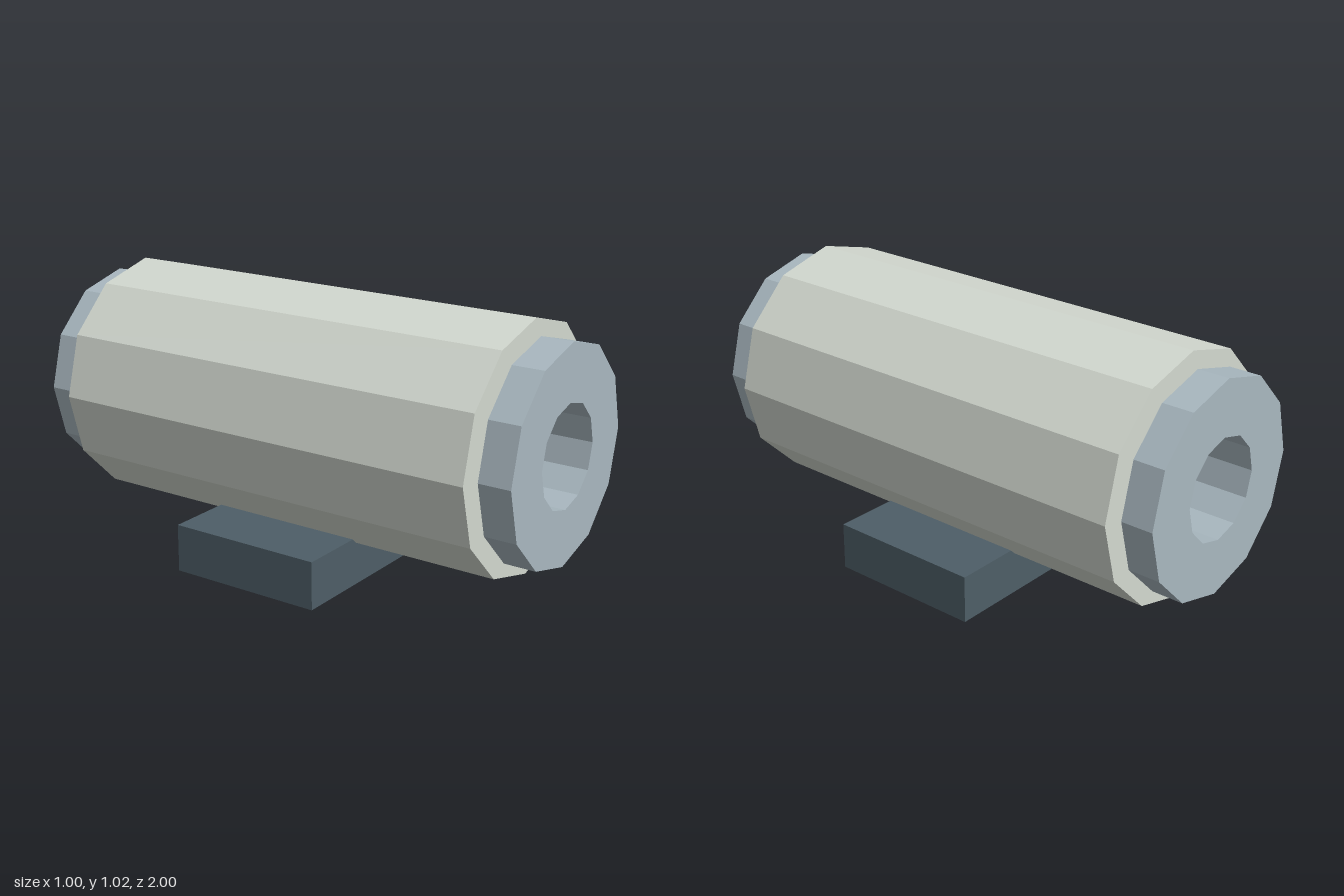
import * as THREE from 'three';

const SIDES = 12;
const AXIS_Y = 0.56;

const material = (color) => new THREE.MeshStandardMaterial({ color, flatShading: true });

// Hollow 12-sided ring along z
function ring(name, outer, inner, length, z, mat) {
  const h = length / 2;
  const profile = [[inner, -h], [outer, -h], [outer, h], [inner, h], [inner, -h]]
    .map(([r, y]) => new THREE.Vector2(r, y));
  const geometry = new THREE.LatheGeometry(profile, SIDES).rotateX(Math.PI / 2);
  const mesh = new THREE.Mesh(geometry, mat);
  mesh.name = name;
  mesh.position.set(0, AXIS_Y, z);
  return mesh;
}

export function createModel() {
  const model = new THREE.Group();
  model.name = 'flangedPipe';
  const shellMat = material(0xd3d9d0);
  const steelMat = material(0xa9b8c0);
  const baseMat = material(0x4e5e67);

  // Outer shell around the inner pipe
  model.add(ring('outerShell', 0.46, 0.26, 1.72, 0, shellMat));
  model.add(ring('innerPipe', 0.26, 0.19, 1.76, 0, steelMat));

  // End flanges, set off from the shell by a narrow gap
  for (const side of [1, -1]) {
    model.add(ring(side > 0 ? 'frontFlange' : 'backFlange', 0.4, 0.19, 0.12, side * 0.94, steelMat));
  }

  // Support block under the middle
  const base = new THREE.Mesh(new THREE.BoxGeometry(1, 0.18, 0.6), baseMat);
  base.name = 'supportBlock';
  base.position.y = 0.09;
  model.add(base);

  return model;
}
